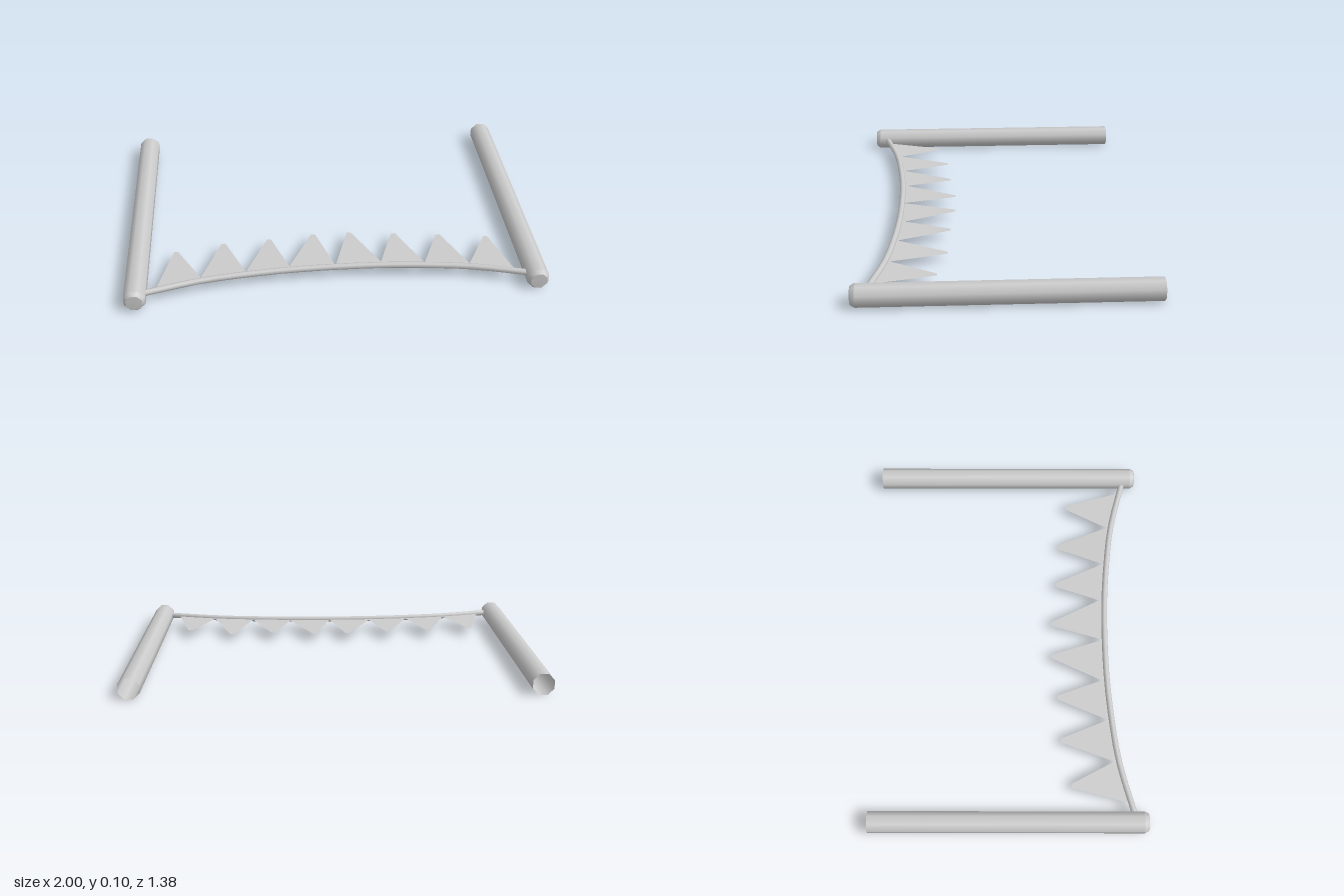
import * as THREE from 'three';

const material = new THREE.MeshStandardMaterial({ color: 0xcccccc, side: THREE.DoubleSide });
const ROPE_Y = 0.053;

// Octagonal pole lying along z, bevelled cap in front, open at the back
function makePole(name, x) {
  const r = 0.05 / Math.cos(Math.PI / 8);
  const profile = [[r, -0.69], [r, 0.664], [r, 0.67], [0.043, 0.688], [0.04, 0.69], [0, 0.69]]
    .map(([radius, along]) => new THREE.Vector2(radius, along));
  const geometry = new THREE.LatheGeometry(profile, 8, Math.PI / 8);
  geometry.rotateX(Math.PI / 2);
  const pole = new THREE.Mesh(geometry, material);
  pole.name = name;
  pole.position.set(x, 0.05, 0);
  return pole;
}

// Thin flag lying flat: wide at the rope, narrow blunt tip towards the back
function makePennant(name, [x0, z0], [x1, z1], [tipX, tipZ, tipY]) {
  const w = 0.01;
  const geometry = new THREE.BufferGeometry();
  geometry.setAttribute('position', new THREE.Float32BufferAttribute([
    x0, ROPE_Y, z0,
    x1, ROPE_Y, z1,
    tipX + w, tipY, tipZ,
    tipX - w, tipY, tipZ,
  ], 3));
  geometry.setIndex([0, 1, 2, 0, 2, 3]);
  geometry.computeVertexNormals();
  const pennant = new THREE.Mesh(geometry, material);
  pennant.name = name;
  return pennant;
}

export function createModel() {
  const model = new THREE.Group();
  model.name = 'pennantLine';
  model.add(makePole('leftPole', 0.95), makePole('rightPole', -0.95));

  // Bowed rope between the poles
  const half = [[0.22, 0.507], [0.43, 0.524], [0.65, 0.554], [0.93, 0.627]];
  const points = [
    ...half.map(([x, z]) => [-x, z]).reverse(), [0, 0.502], ...half,
  ].map(([x, z]) => new THREE.Vector3(x, ROPE_Y, z));
  const curve = new THREE.CatmullRomCurve3(points);
  const rope = new THREE.Mesh(new THREE.TubeGeometry(curve, 20, 0.015, 8), material);
  rope.name = 'rope';
  model.add(rope);

  // Pennants, mirrored about the middle
  const roots = [[0, 0.493], [0.222, 0.48], [0.432, 0.505], [0.647, 0.53], [0.855, 0.597]];
  const tips = [[0.09, 0.225], [0.312, 0.25], [0.538, 0.265], [0.77, 0.313]];
  const pennants = new THREE.Group();
  pennants.name = 'pennants';
  tips.forEach(([tx, tz], i) => {
    const [a, b] = [roots[i], roots[i + 1]];
    const tipY = i === 2 ? 0.036 : 0.047; // one flag sags a little
    pennants.add(
      makePennant(`leftPennant${i + 1}`, a, b, [tx, tz, tipY]),
      makePennant(`rightPennant${i + 1}`, [-b[0], b[1]], [-a[0], a[1]], [-tx, tz, 0.047]),
    );
    // Narrow web carrying each flag into the rope
    for (const s of [-1, 1]) {
      const [p, q] = s > 0 ? [a, b] : [b, a];
      const web = new THREE.BufferGeometry();
      web.setAttribute('position', new THREE.Float32BufferAttribute([
        s * p[0], ROPE_Y, p[1],
        s * p[0], ROPE_Y, p[1] + 0.015,
        s * (a[0] + b[0]) / 2, ROPE_Y, (a[1] + b[1]) / 2 + 0.01,
        s * q[0], ROPE_Y, q[1] + 0.015,
        s * q[0], ROPE_Y, q[1],
      ], 3));
      web.setIndex([0, 1, 2, 0, 2, 4, 2, 3, 4]);
      web.computeVertexNormals();
      const mesh = new THREE.Mesh(web, material);
      mesh.name = `${s > 0 ? 'left' : 'right'}PennantHem${i + 1}`;
      pennants.add(mesh);
    }
  });
  model.add(pennants);
  return model;
}
